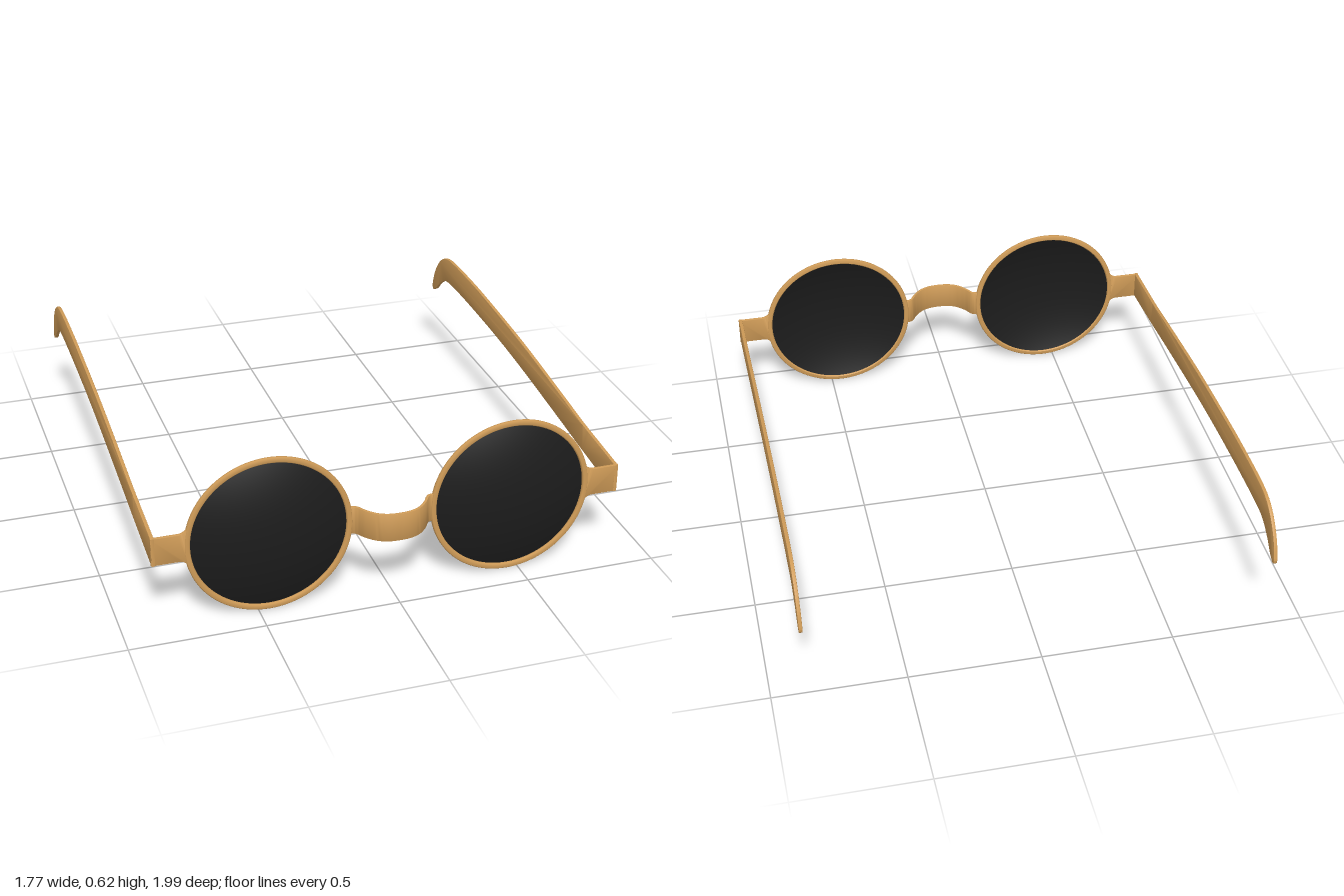
import * as THREE from 'three';
import { toCreasedNormals } from 'three/addons/utils/BufferGeometryUtils.js';

const wood = new THREE.MeshStandardMaterial({ color: 0xd09c58 });
const dark = new THREE.MeshStandardMaterial({ color: 0x1c1c1c, side: THREE.DoubleSide });

const CX = 0.457, CY = 0.313, FRAME_Z = 0.893;   // lens centre and frame plane
const BAR_LOW = 0.262, BAR_HIGH = 0.372;         // height of bridge and end pieces

const v = (x, y) => new THREE.Vector2(x, y);

function add(group, name, geometry, material) {
  const mesh = new THREE.Mesh(geometry, material);
  mesh.name = name;
  group.add(mesh);
  return mesh;
}

// Slab cut from a shape, with softly rounded edges that stay inside the outline
function slab(shape, depth, bevel = 0.003) {
  const g = new THREE.ExtrudeGeometry(shape, {
    depth: depth - 2 * bevel, curveSegments: 16, bevelEnabled: true,
    bevelThickness: bevel, bevelSize: bevel, bevelOffset: -bevel, bevelSegments: 2,
  });
  g.translate(0, 0, bevel);
  return toCreasedNormals(g, 0.7);
}

// Round rim: a rounded band turned around the lens axis
function rimGeometry() {
  const r0 = 0.287, r1 = 0.308, h = 0.008, c = 0.004;
  const profile = [
    v(r0 + c, -h), v(r1 - c, -h), v(r1, -h + c), v(r1, h - c),
    v(r1 - c, h), v(r0 + c, h), v(r0, h - c), v(r0, -h + c), v(r0 + c, -h),
  ];
  return new THREE.LatheGeometry(profile, 96).rotateX(Math.PI / 2);
}

// Shallow domed lens: a cap of a large sphere
function lensGeometry() {
  const R = 0.77;
  return new THREE.SphereGeometry(R, 72, 14, 0, Math.PI * 2, 0, Math.asin(0.29 / R))
    .rotateX(Math.PI / 2).translate(0, 0, 0.945 - R);
}

// Temple arm: side profile drawn along -z, with a drooping ear hook
function templeGeometry() {
  const s = new THREE.Shape();
  s.moveTo(-0.9, BAR_LOW);
  s.splineThru([v(-0.6, 0.294), v(-0.4, 0.318), v(0, 0.362), v(0.3, 0.385),
    v(0.6, 0.397), v(0.78, 0.397), v(0.85, 0.386), v(0.91, 0.35), v(0.955, 0.308), v(0.985, 0.291)]);
  s.quadraticCurveTo(1.0, 0.292, 0.999, 0.315);
  s.splineThru([v(0.98, 0.372), v(0.945, 0.427), v(0.9, 0.47), v(0.84, 0.498),
    v(0.75, 0.507), v(0.6, 0.506), v(0.4, 0.498), v(0, 0.468), v(-0.4, 0.422), v(-0.6, 0.397), v(-0.9, BAR_HIGH)]);
  s.closePath();
  const g = slab(s, 0.014).rotateY(Math.PI / 2).translate(0.87, 0, 0);
  // lean the arm slightly inward toward the ear
  const p = g.attributes.position;
  for (let i = 0; i < p.count; i++) p.setX(i, p.getX(i) - 0.002 * (0.9 - p.getZ(i)));
  return g;
}

// End piece joining rim and temple, flaring where it meets the rim
function endPieceGeometry() {
  const s = new THREE.Shape();
  s.moveTo(0.75, 0.24);
  s.quadraticCurveTo(0.765, BAR_LOW, 0.785, BAR_LOW);
  s.lineTo(0.885, BAR_LOW);
  s.lineTo(0.885, BAR_HIGH);
  s.lineTo(0.785, BAR_HIGH);
  s.quadraticCurveTo(0.765, BAR_HIGH, 0.75, 0.394);
  s.closePath();
  return slab(s, 0.012).translate(0, 0, FRAME_Z - 0.006);
}

// Nose bridge: a thin strip arching forward between the rims
function bridgeGeometry() {
  const half = [[0.168, 0.893], [0.148, 0.894], [0.132, 0.903], [0.112, 0.934], [0.08, 0.966], [0.042, 0.983]];
  const path = new THREE.SplineCurve([
    ...half.map(([x, z]) => v(-x, z)), v(0, 0.987), ...half.reverse().map(([x, z]) => v(x, z)),
  ]);
  const front = [], back = [], n = 56, t = 0.005;
  for (let i = 0; i <= n; i++) {
    const p = path.getPoint(i / n), d = path.getTangent(i / n);
    front.push(v(p.x - d.y * t, p.y + d.x * t));
    back.unshift(v(p.x + d.y * t, p.y - d.x * t));
  }
  return slab(new THREE.Shape([...front, ...back]), BAR_HIGH - BAR_LOW, 0.002)
    .rotateX(Math.PI / 2).translate(0, BAR_HIGH, 0);
}

export function createModel() {
  const glasses = new THREE.Group();
  glasses.name = 'sunglasses';

  const rim = rimGeometry(), lens = lensGeometry();
  const temple = templeGeometry(), endPiece = endPieceGeometry();

  for (const [side, sign] of [['left', 1], ['right', -1]]) {
    add(glasses, side + 'Rim', rim, wood).position.set(sign * CX, CY, FRAME_Z);
    add(glasses, side + 'Lens', lens, dark).position.set(sign * CX, CY, 0);
    add(glasses, side + 'Temple', temple, wood).scale.x = sign;
    add(glasses, side + 'EndPiece', endPiece, wood).scale.x = sign;
  }
  add(glasses, 'bridge', bridgeGeometry(), wood);
  return glasses;
}
